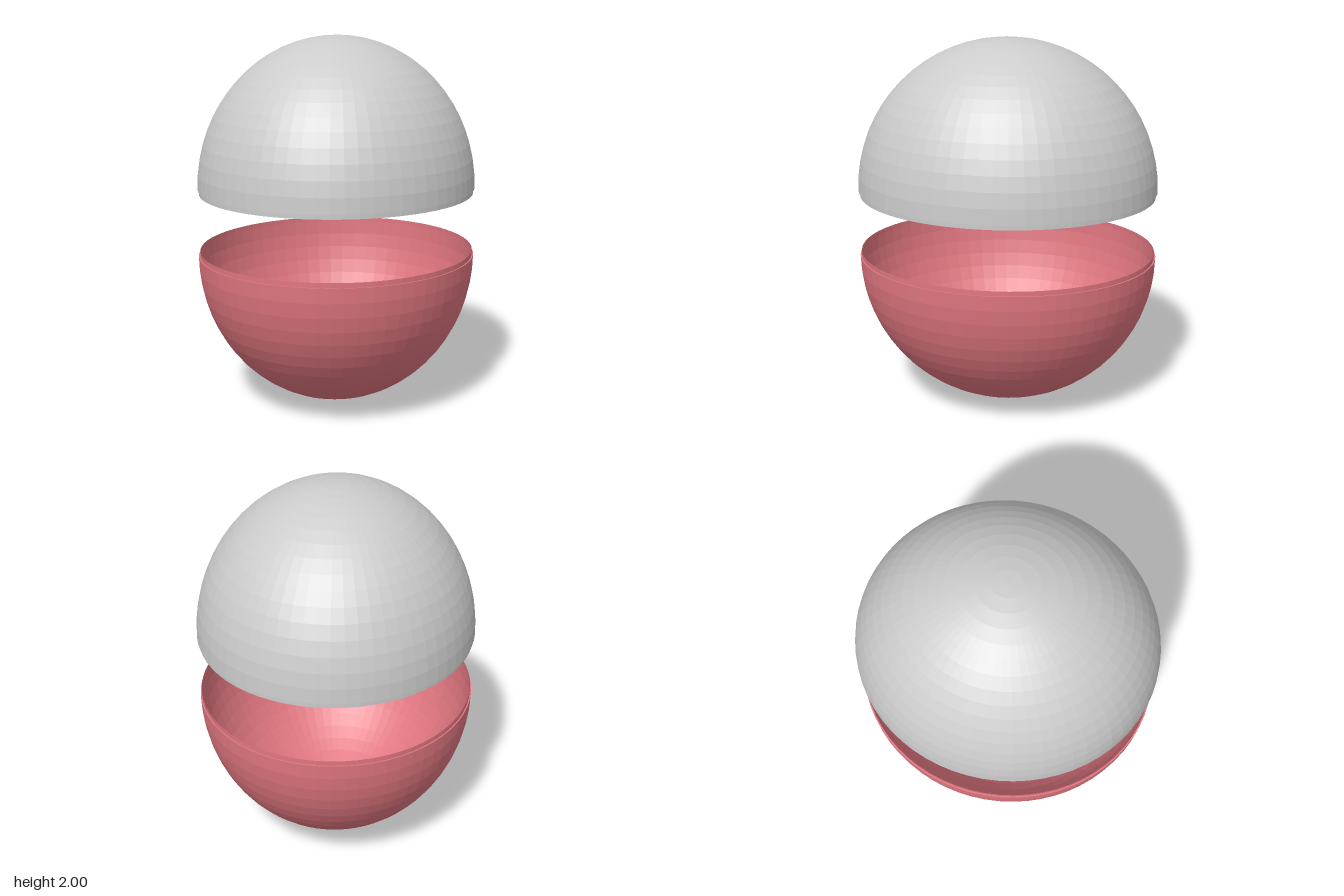
import * as THREE from 'three';

const RX = 0.75, R = 0.815, LIP = 0.026, INSET = 0.008;

// One hollow dome: its edge sits at y = 0, with a thin inset lip below it
function halfShell(name, color) {
  const profile = [
    new THREE.Vector2(R - INSET, -LIP),
    new THREE.Vector2(R - INSET, 0),
  ];
  const rings = 16;
  for (let i = 0; i <= rings; i++) {
    const a = (i / rings) * Math.PI / 2;
    profile.push(new THREE.Vector2(i === rings ? 0 : R * Math.cos(a), R * Math.sin(a)));
  }
  const geometry = new THREE.LatheGeometry(profile, 64);
  geometry.scale(RX / R, 1, 1); // slightly narrower across x
  const mesh = new THREE.Mesh(geometry, new THREE.MeshStandardMaterial({
    color, flatShading: true, side: THREE.DoubleSide,
  }));
  mesh.name = name;
  return mesh;
}

export function createModel() {
  const group = new THREE.Group();
  group.name = 'splitCapsule';

  // Upper half, floating above the lower one
  const top = halfShell('upperShell', 0xcccccc);
  top.position.y = 2 - R;

  // Lower half, turned over to form a bowl
  const bottom = halfShell('lowerShell', 0xe07680);
  bottom.rotation.x = Math.PI;
  bottom.position.y = R + 0.003;

  group.add(top, bottom);
  return group;
}
